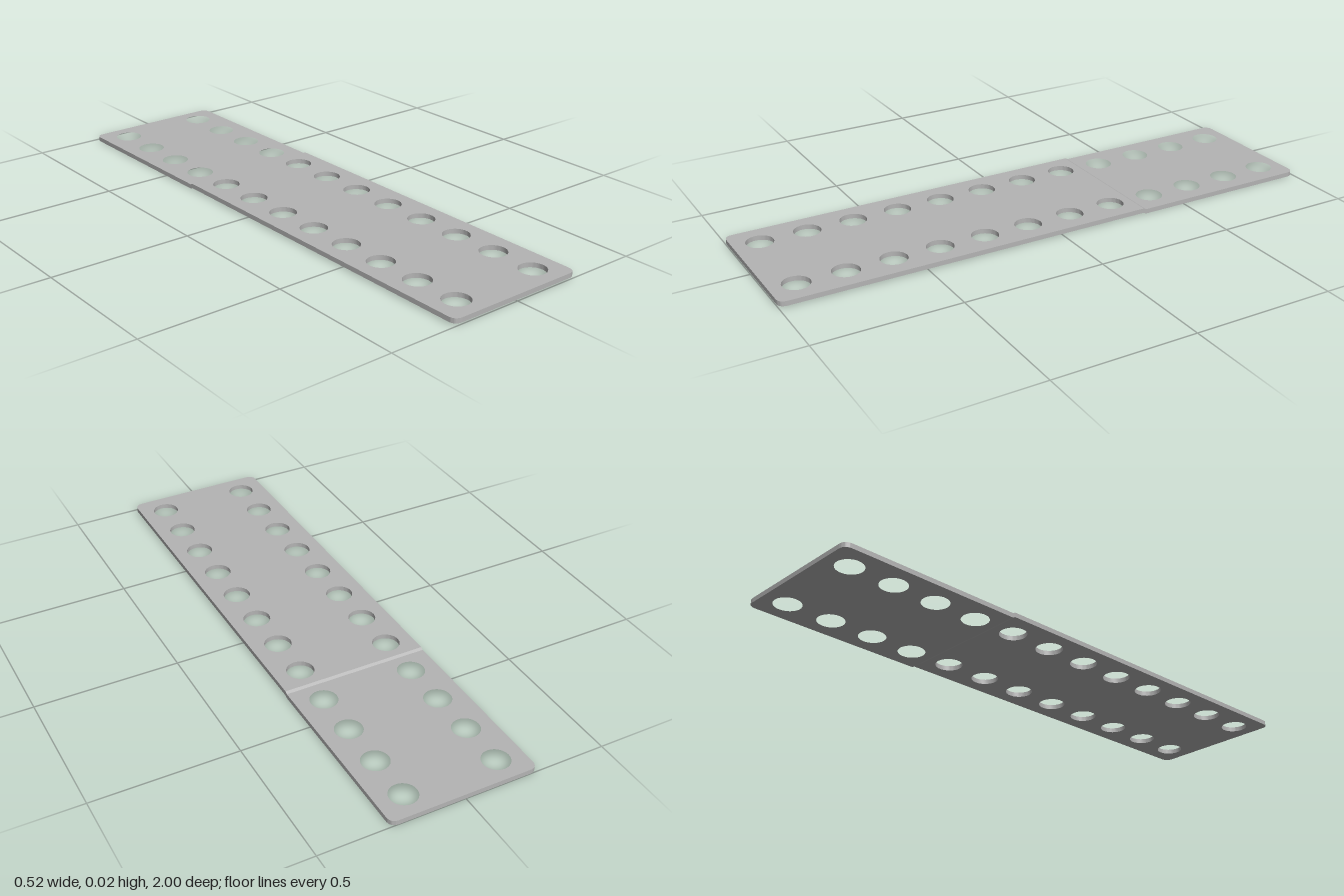
import * as THREE from 'three';
import { toCreasedNormals } from 'three/addons/utils/BufferGeometryUtils.js';

const HALF_W = 0.258, THICK = 0.0165, STEP = 0.005;
const CORNER = 0.03, HOLE_R = 0.047, HOLE_X = 0.164;
const FIRST_HOLE = -0.913, PITCH = 0.1656;
const BEND_BACK = -0.338, BEND_FRONT = -0.328;

// Flat plate from the bend line to an outer end with rounded corners, drilled with hole pairs
function plate(bendZ, endZ, firstRow, rows) {
  const s = Math.sign(endZ);
  const inner = endZ - s * CORNER;
  const shape = new THREE.Shape();
  shape.moveTo(-HALF_W, -bendZ);
  shape.lineTo(-HALF_W, -inner);
  shape.quadraticCurveTo(-HALF_W, -endZ, -HALF_W + CORNER, -endZ);
  shape.lineTo(HALF_W - CORNER, -endZ);
  shape.quadraticCurveTo(HALF_W, -endZ, HALF_W, -inner);
  shape.lineTo(HALF_W, -bendZ);
  shape.closePath();
  for (let i = firstRow; i < firstRow + rows; i++) {
    for (const x of [-HOLE_X, HOLE_X]) {
      const hole = new THREE.Path();
      hole.absarc(x, -(FIRST_HOLE + i * PITCH), HOLE_R, 0, Math.PI * 2, true);
      shape.holes.push(hole);
    }
  }
  const geo = new THREE.ExtrudeGeometry(shape, { depth: THICK, bevelEnabled: false, curveSegments: 20 });
  geo.rotateX(-Math.PI / 2);
  return toCreasedNormals(geo, 0.6);
}

// Narrow sloped strip joining the two levels
function bendStrip() {
  const geo = new THREE.BoxGeometry(HALF_W * 2, THICK, BEND_FRONT - BEND_BACK);
  geo.translate(0, THICK / 2, (BEND_FRONT + BEND_BACK) / 2);
  const p = geo.attributes.position;
  for (let i = 0; i < p.count; i++) {
    if (p.getZ(i) > (BEND_FRONT + BEND_BACK) / 2) p.setY(i, p.getY(i) + STEP);
  }
  geo.computeVertexNormals();
  return geo;
}

export function createModel() {
  const group = new THREE.Group();
  group.name = 'joggledPlate';
  const steel = new THREE.MeshStandardMaterial({ color: 0xb4b4b4 });
  steel.name = 'greySteel';
  const add = (name, geo, y = 0) => {
    const mesh = new THREE.Mesh(geo, steel);
    mesh.name = name;
    mesh.position.y = y;
    group.add(mesh);
  };
  add('raisedFrontPlate', plate(BEND_FRONT, 1, 4, 8), STEP);
  add('lowerBackPlate', plate(BEND_BACK, -1, 0, 4));
  add('bendStrip', bendStrip());
  return group;
}
